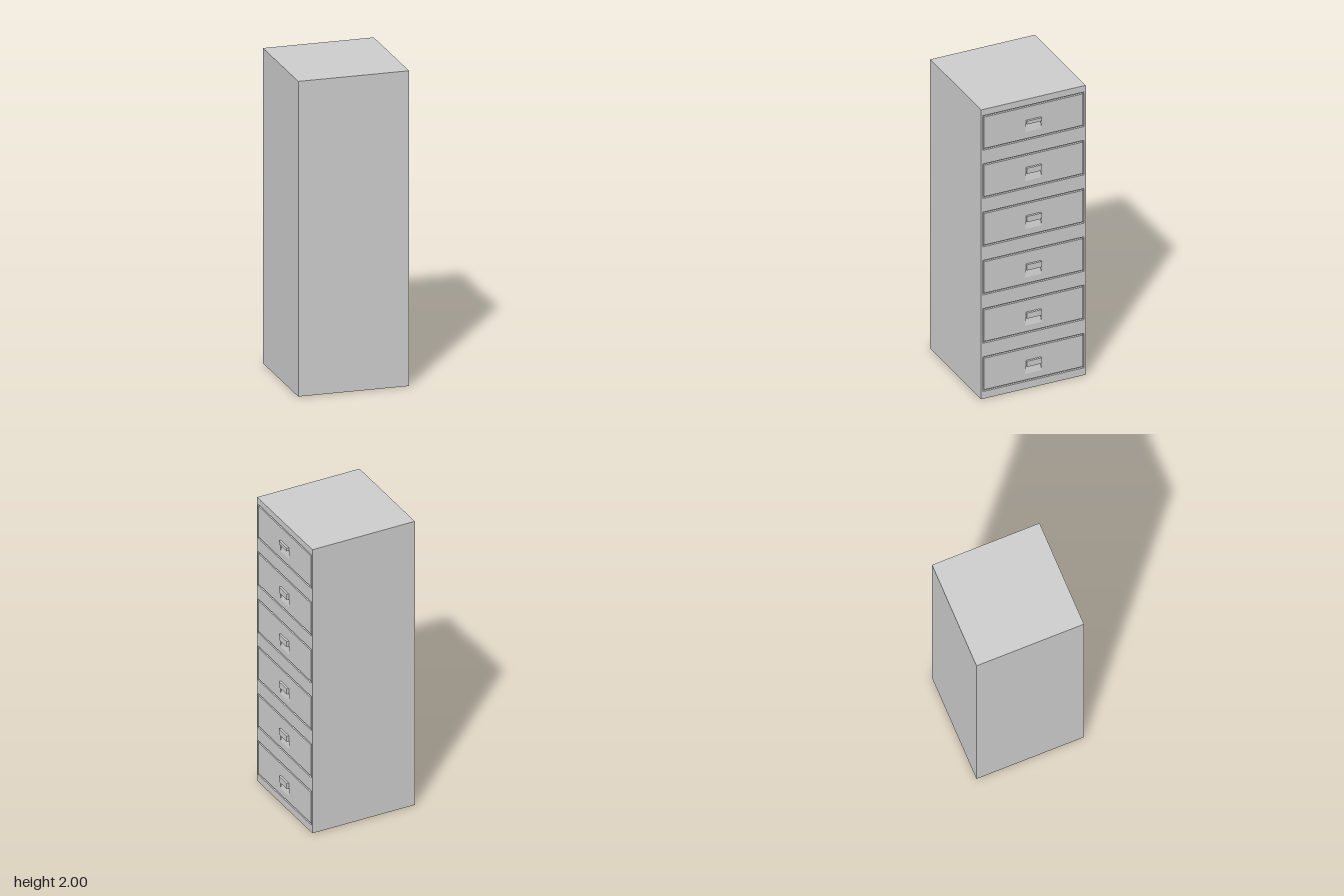
import * as THREE from 'three';

const BACK = -0.36, FACE = 0.344, DEPTH = 0.014, INNER = FACE - DEPTH;
const HALF = 0.352, HEIGHT = 2;
const DRAWERS = 6, PITCH = 0.3335, FIRST = 0.05, OPENING = 0.239;

const material = new THREE.MeshStandardMaterial({ color: 0xcccccc, flatShading: true });

function part(name, geometry) {
  const mesh = new THREE.Mesh(geometry, material);
  mesh.name = name;
  return mesh;
}

// Symmetric outline in the drawer plane: half widths at bottom and top
function outline(Type, bottomHalf, topHalf, y0, y1) {
  return new Type([
    new THREE.Vector2(-bottomHalf, y0), new THREE.Vector2(bottomHalf, y0),
    new THREE.Vector2(topHalf, y1), new THREE.Vector2(-topHalf, y1),
  ]);
}

// Thin slab whose outer face lies on the drawer side of the cabinet
function faceSlab(shape) {
  return new THREE.ExtrudeGeometry(shape, { depth: DEPTH, bevelEnabled: false })
    .rotateY(Math.PI / 2).translate(INNER, 0, 0);
}

function createDrawer(index) {
  const drawer = new THREE.Group();
  drawer.name = 'drawer' + (index + 1);
  const y0 = FIRST + index * PITCH, y1 = y0 + OPENING;
  const top = index === DRAWERS - 1;
  const pocketBottom = y0 + (top ? 0.058 : 0.053);
  const hoodBottom = y0 + (top ? 0.116 : 0.107);
  const hoodTop = y0 + (top ? 0.138 : 0.146);

  // Drawer front, separated from the frame by a narrow groove
  const panel = outline(THREE.Shape, 0.333, 0.333, y0 + 0.011, y1 - 0.011);
  panel.holes.push(outline(THREE.Path, 0.056, 0.05, pocketBottom, hoodBottom));
  drawer.add(part('drawerFront', faceSlab(panel)));

  // Sloping finger recess below the hood
  const wedge = new THREE.Shape([
    new THREE.Vector2(INNER, pocketBottom),
    new THREE.Vector2(FACE, pocketBottom),
    new THREE.Vector2(INNER, hoodBottom),
  ]);
  drawer.add(part('fingerRecess',
    new THREE.ExtrudeGeometry(wedge, { depth: 0.112, bevelEnabled: false }).translate(0, 0, -0.056)));

  // Projecting handle hood
  const hood = part('handleHood', new THREE.BoxGeometry(0.014, hoodTop - hoodBottom, 0.1));
  hood.position.set(FACE + 0.007, (hoodTop + hoodBottom) / 2, 0);
  drawer.add(hood);
  return drawer;
}

export function createModel() {
  const model = new THREE.Group();
  model.name = 'drawerCabinet';

  // Cabinet body
  const body = part('cabinetBody', new THREE.BoxGeometry(INNER - BACK, HEIGHT, HALF * 2));
  body.position.set((INNER + BACK) / 2, HEIGHT / 2, 0);
  model.add(body);

  // Frame with one opening per drawer
  const frame = outline(THREE.Shape, HALF, HALF, 0, HEIGHT);
  for (let i = 0; i < DRAWERS; i++) {
    const y0 = FIRST + i * PITCH;
    frame.holes.push(outline(THREE.Path, 0.34, 0.34, y0, y0 + OPENING));
    model.add(createDrawer(i));
  }
  model.add(part('drawerFrame', faceSlab(frame)));
  return model;
}
